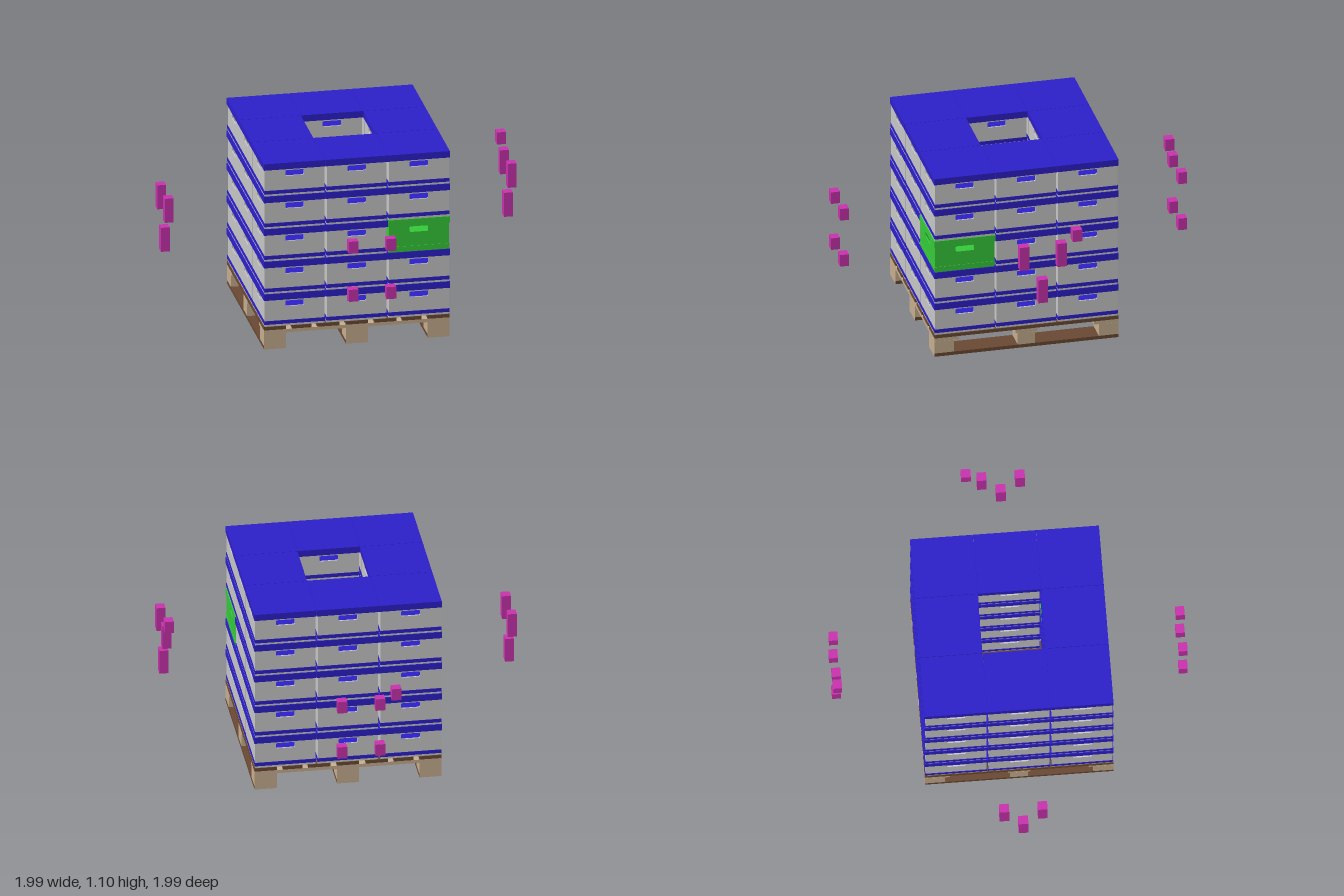
import * as THREE from 'three';
import { mergeGeometries } from 'three/addons/utils/BufferGeometryUtils.js';

const mat = (name, color) => new THREE.MeshStandardMaterial({ name, color });

export function createModel() {
  const grey = mat('crate grey', 0xcacaca);
  const blue = mat('lid blue', 0x2d20cc);
  const green = mat('accent green', 0x36cc3a);
  const magenta = mat('marker magenta', 0xcc33b0);
  const tan = mat('end grain tan', 0xc9b191);
  const brown = mat('board brown', 0x6c4a34);

  const model = new THREE.Group();
  model.name = 'palletLoad';

  const block = (parent, name, material, size, pos) => {
    const mesh = new THREE.Mesh(new THREE.BoxGeometry(...size), material);
    mesh.position.set(...pos);
    mesh.name = name;
    parent.add(mesh);
    return mesh;
  };

  // Pallet: runners, blocks, cross boards and deck boards
  const pallet = new THREE.Group();
  pallet.name = 'pallet';
  model.add(pallet);
  const endGrain = [brown, brown, brown, brown, tan, tan]; // tan front and back ends
  for (const x of [-0.464, 0, 0.464]) {
    block(pallet, 'runner', endGrain, [0.125, 0.02, 1.052], [x, 0.01, 0]);
    for (const z of [-0.47, 0, 0.47]) {
      block(pallet, 'palletBlock', tan, [0.125, 0.073, z ? 0.112 : 0.1], [x, 0.0565, z]);
    }
  }
  for (const z of [-0.456, 0, 0.456]) {
    block(pallet, 'crossBoard', tan, [1.052, 0.02, z ? 0.14 : 0.125], [0, 0.103, z]);
  }
  for (const [x, w] of [[-0.464, 0.125], [-0.312, 0.11], [-0.162, 0.125], [0, 0.125],
    [0.162, 0.125], [0.312, 0.11], [0.464, 0.125]]) {
    block(pallet, 'deckBoard', brown, [w, 0.02, 1.052], [x, 0.123, 0]);
  }

  // Crate wall with a rounded hand hole, repeated on four sides
  const half = 0.17, wallTop = 0.16, thick = 0.008;
  const wall = new THREE.Shape([
    new THREE.Vector2(-half, 0), new THREE.Vector2(half, 0),
    new THREE.Vector2(half, wallTop), new THREE.Vector2(-half, wallTop)]);
  const hole = new THREE.Path();
  const hx = 0.053, y0 = 0.115, y1 = 0.148, r = 0.008;
  hole.absarc(hx - r, y0 + r, r, -Math.PI / 2, 0);
  hole.absarc(hx - r, y1 - r, r, 0, Math.PI / 2);
  hole.absarc(-hx + r, y1 - r, r, Math.PI / 2, Math.PI);
  hole.absarc(-hx + r, y0 + r, r, Math.PI, Math.PI * 1.5);
  hole.closePath();
  wall.holes.push(hole);
  const side = new THREE.ExtrudeGeometry(wall, { depth: thick, bevelEnabled: false, curveSegments: 3 });
  side.translate(0, 0, half - thick);
  const walls = mergeGeometries([0, 1, 2, 3].map(i => side.clone().rotateY(i * Math.PI / 2)));
  const lid = new THREE.BoxGeometry(0.35, 0.038, 0.35).translate(0, 0.175, 0);
  const floor = new THREE.BoxGeometry(0.345, 0.021, 0.345).translate(0, 0.0225, 0);

  // Five layers of eight crates around an open centre
  const pitch = 0.352;
  for (let layer = 0; layer < 5; layer++) {
    for (let i = -1; i <= 1; i++) {
      for (let k = -1; k <= 1; k++) {
        if (!i && !k) continue;
        const accent = layer === 2 && i === 1 && k === 1;
        const crate = new THREE.Group();
        crate.name = accent ? 'accentCrate' : 'crate';
        crate.position.set(i * pitch, 0.133 + layer * 0.194, k * pitch);
        for (const [name, geo, m] of [['walls', walls, grey], ['lid', lid, blue], ['floor', floor, blue]]) {
          const mesh = new THREE.Mesh(geo, accent ? green : m);
          mesh.name = name;
          crate.add(mesh);
        }
        model.add(crate);
      }
    }
  }

  // Floating marker blocks beside each face: [across, centre height, height in cubes]
  const cube = 0.0715, step = 0.107;
  const corners = [[-step, 0.743, 1], [step, 0.743, 1], [-step, 0.457, 1], [step, 0.457, 1]];
  const posts = y => [[-step, y, 2], [step, y, 2], [0, y - 0.213, 2]];
  const markers = [
    ['frontMarker', 0, 0, 0.946, 0, corners],
    ['backMarker', 0, 0, -0.988, Math.PI, [...corners, [0.198, 0.8, 1]]],
    ['leftMarker', 0.957, 0, 0.0125, Math.PI / 2, [...posts(0.781), [0.195, 0.89, 1]]],
    ['rightMarker', -0.983, 0, -0.012, -Math.PI / 2, posts(0.71)],
  ];
  for (const [name, x, y, z, turn, cubes] of markers) {
    const marker = new THREE.Group();
    marker.name = name;
    marker.position.set(x, y, z);
    marker.rotation.y = turn;
    for (const [across, height, n] of cubes) {
      block(marker, 'markerBlock', magenta, [0.054, cube * n, 0.05], [across, height, 0]);
    }
    model.add(marker);
  }

  // The whole load stands very slightly turned
  model.position.set(0.011, 0, 0.021);
  model.rotation.y = -0.012;
  const root = new THREE.Group();
  root.name = 'model';
  root.add(model);
  return root;
}
